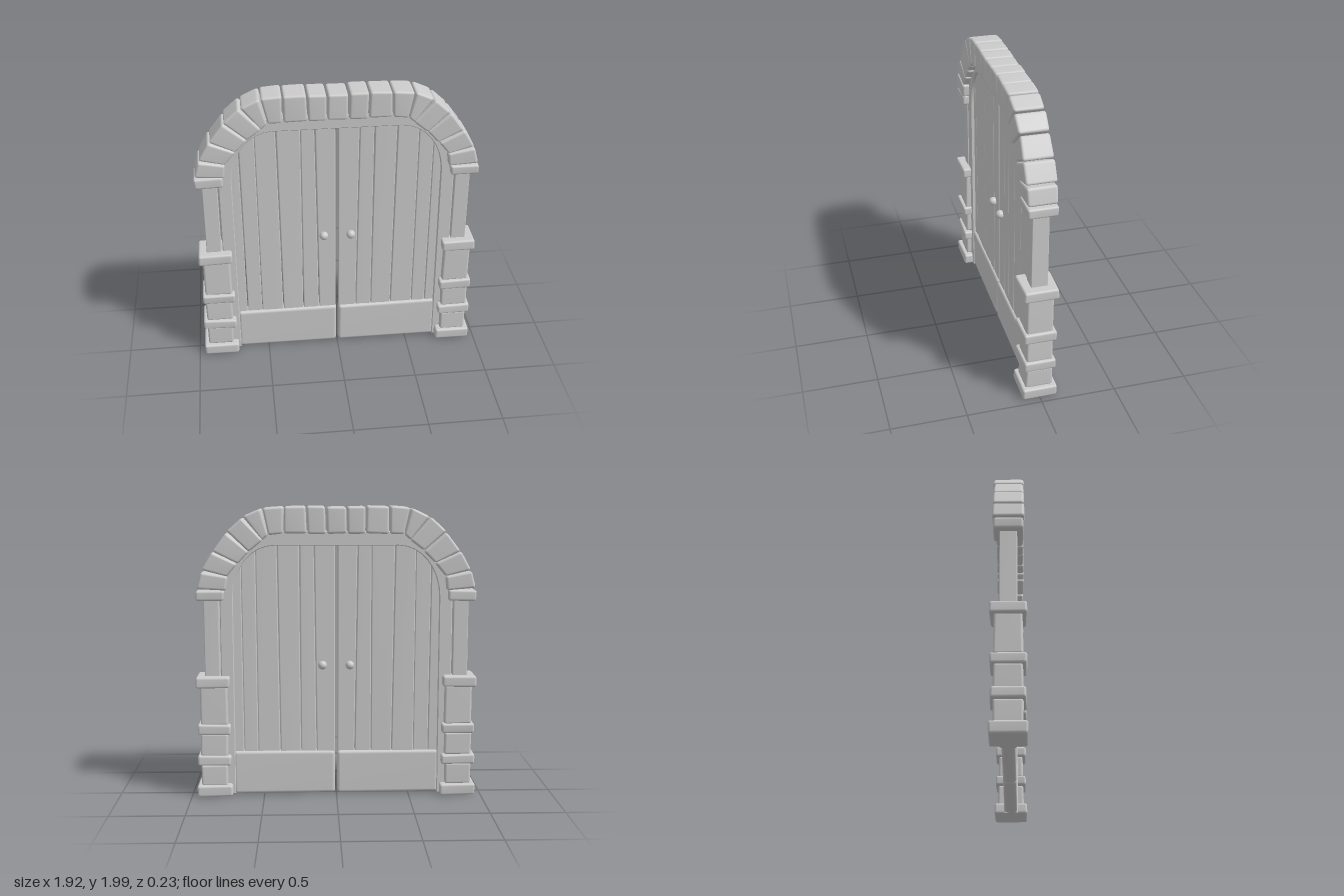
import * as THREE from 'three';
import { mergeVertices, toCreasedNormals } from 'three/addons/utils/BufferGeometryUtils.js';
import { RoundedBoxGeometry } from 'three/addons/geometries/RoundedBoxGeometry.js';

const material = new THREE.MeshStandardMaterial({ color: 0xcccccc });

// Small seeded generator for hand-hewn irregularity
let seed = 7;
const wobble = (amount) => {
  seed = (seed * 16807) % 2147483647;
  return (seed / 2147483647 - 0.5) * 2 * amount;
};

function add(parent, name, geometry) {
  const mesh = new THREE.Mesh(geometry, material);
  mesh.name = name;
  parent.add(mesh);
  return mesh;
}

// Rounded block filling the quad [bottomLeft, bottomRight, topRight, topLeft]
function block(parent, name, quad, zBack, zFront, { radius = 0.014, jitter = 0.004, gap = 0 } = {}) {
  const [a, b, c, d] = quad.map(([x, y]) => new THREE.Vector2(x, y));
  const w = (a.distanceTo(b) + d.distanceTo(c)) / 2;
  const h = (a.distanceTo(d) + b.distanceTo(c)) / 2;
  const depth = zFront - zBack;
  let geo = new RoundedBoxGeometry(w, h, depth, 2, Math.min(radius, w * 0.3, h * 0.3));
  geo.deleteAttribute('normal');
  geo.deleteAttribute('uv');
  geo = mergeVertices(geo, 1e-5);
  const corners = [a, b, c, d].map((p) => p.add(new THREE.Vector2(wobble(jitter), wobble(jitter))));
  const depthScale = corners.map(() => 1 + wobble(jitter) * 2 / depth);
  const pos = geo.attributes.position;
  for (let i = 0; i < pos.count; i++) {
    const u = 0.5 + (pos.getX(i) / w) * (1 - gap / w);
    const v = 0.5 + (pos.getY(i) / h) * (1 - gap / h);
    const weights = [(1 - u) * (1 - v), u * (1 - v), u * v, (1 - u) * v];
    let x = 0, y = 0, s = 0;
    weights.forEach((k, n) => {
      x += k * corners[n].x;
      y += k * corners[n].y;
      s += k * depthScale[n];
    });
    pos.setXYZ(i, x, y, pos.getZ(i) * s + (zBack + zFront) / 2);
  }
  geo.computeVertexNormals();
  return add(parent, name, geo);
}

const rect = (x0, x1, y0, y1) => [[x0, y0], [x1, y0], [x1, y1], [x0, y1]];
const mirrorX = ([x, y]) => [-x, y];

// Stone pillar: stacked blocks and bands, a slim shaft and a capital
function buildPillar(side) {
  const pillar = new THREE.Group();
  pillar.name = side > 0 ? 'leftPillar' : 'rightPillar';
  const parts = [
    ['pillarBase', 0.72, 0.96, 0.005, 0.082, 0.115],
    ['pillarBlock', 0.75, 0.932, 0.075, 0.225, 0.09],
    ['pillarBand', 0.725, 0.952, 0.222, 0.292, 0.108],
    ['pillarBlock', 0.75, 0.932, 0.285, 0.445, 0.088],
    ['pillarBand', 0.725, 0.95, 0.442, 0.512, 0.11],
    ['pillarBlock', 0.745, 0.93, 0.505, 0.78, 0.088],
    ['pillarBand', 0.728, 0.957, 0.77, 0.845, 0.113],
    ['pillarShaft', 0.797, 0.897, 0.83, 1.38, 0.055],
    ['pillarCapital', 0.758, 0.945, 1.36, 1.432, 0.098],
  ];
  for (const [name, x0, x1, y0, y1, z] of parts) {
    const quad = side > 0 ? rect(x0, x1, y0, y1) : rect(-x1, -x0, y0, y1);
    const shaft = name === 'pillarShaft';
    block(pillar, name, quad, -z, z, { radius: shaft ? 0.006 : 0.016, jitter: shaft ? 0.001 : 0.004 });
  }
  return pillar;
}

// Arch of wedge stones between joints, each joint given as [outer point, inner point]
function buildArch() {
  const arch = new THREE.Group();
  arch.name = 'stoneArch';
  const half = [
    [[-0.945, 1.44], [-0.738, 1.43]],
    [[-0.91, 1.565], [-0.73, 1.525]],
    [[-0.835, 1.695], [-0.66, 1.61]],
    [[-0.74, 1.83], [-0.583, 1.69]],
    [[-0.63, 1.925], [-0.49, 1.765]],
    [[-0.495, 1.988], [-0.455, 1.8]],
    [[-0.35, 1.997], [-0.355, 1.808]],
    [[-0.2, 1.997], [-0.195, 1.808]],
    [[-0.07, 1.995], [-0.07, 1.808]],
  ];
  const joints = [...half, ...half.slice().reverse().map((j) => j.map(mirrorX))];
  for (let i = 0; i < joints.length - 1; i++) {
    const [outer0, inner0] = joints[i];
    const [outer1, inner1] = joints[i + 1];
    block(arch, 'archStone', [outer0, inner0, inner1, outer1], -0.098, 0.098, { radius: 0.018, gap: 0.007 });
  }
  return arch;
}

// Wooden frame with rounded shoulders, open at the bottom
function buildFrame() {
  const outline = (halfWidth, spring, rise) => {
    const cx = 0.42;
    const points = [[halfWidth, 0.012]];
    for (let i = 0; i <= 8; i++) {
      const t = (i / 8) * Math.PI / 2;
      points.push([cx + (halfWidth - cx) * Math.cos(t), spring + rise * Math.sin(t)]);
    }
    return [...points, ...points.slice().reverse().map(mirrorX)];
  };
  const points = [...outline(0.783, 1.4, 0.42), ...outline(0.705, 1.38, 0.355).reverse()];
  const shape = new THREE.Shape(points.map(([x, y]) => new THREE.Vector2(x, y)));
  const geo = new THREE.ExtrudeGeometry(shape, {
    depth: 0.09, bevelThickness: 0.005, bevelSize: 0.005, bevelSegments: 1,
  });
  geo.translate(0, 0, -0.045);
  const frame = new THREE.Group();
  frame.name = 'frame';
  add(frame, 'doorFrame', toCreasedNormals(geo, 0.6));
  return frame;
}

// Plank tops follow the arch, ending inside the frame
const plankTop = (x) => {
  const t = Math.max(0, (Math.abs(x) - 0.42) / 0.31);
  return 1.38 + 0.38 * Math.sqrt(Math.max(0, 1 - t * t));
};

// One door leaf: uneven planks, kick board and a knob on each face
function buildDoor(name, topSeams, bottomSeams, board, knobX) {
  const door = new THREE.Group();
  door.name = name;
  for (let i = 0; i < topSeams.length - 1; i++) {
    const [t0, t1] = [topSeams[i], topSeams[i + 1]];
    const [b0, b1] = [bottomSeams[i], bottomSeams[i + 1]];
    block(door, 'plank', [[b0, 0.1], [b1, 0.1], [t1, plankTop(t1)], [t0, plankTop(t0)]],
      -0.025, 0.025, { radius: 0.008, jitter: 0.002, gap: 0.004 });
  }
  block(door, 'kickBoard', rect(...board, 0.008, 0.308), -0.043, 0.043, { radius: 0.022, jitter: 0.003 });
  for (const z of [-1, 1]) {
    const knob = add(door, 'knob', new THREE.SphereGeometry(0.03, 20, 14));
    knob.position.set(knobX, 0.914, z * 0.042);
    const stem = add(door, 'knobStem', new THREE.CylinderGeometry(0.014, 0.014, 0.03, 12));
    stem.rotation.x = Math.PI / 2;
    stem.position.set(knobX, 0.914, z * 0.025);
  }
  return door;
}

export function createModel() {
  const model = new THREE.Group();
  model.name = 'archedDoorway';
  model.add(buildPillar(1), buildPillar(-1), buildArch(), buildFrame());
  model.add(buildDoor('rightDoor',
    [-0.715, -0.645, -0.54, -0.4, -0.238, -0.145, -0.008],
    [-0.715, -0.637, -0.535, -0.382, -0.242, -0.125, -0.006],
    [-0.71, -0.005], -0.092));
  model.add(buildDoor('leftDoor',
    [0.006, 0.152, 0.25, 0.4, 0.545, 0.645, 0.715],
    [0.009, 0.135, 0.245, 0.385, 0.54, 0.638, 0.715],
    [0.007, 0.71], 0.095));
  return model;
}
